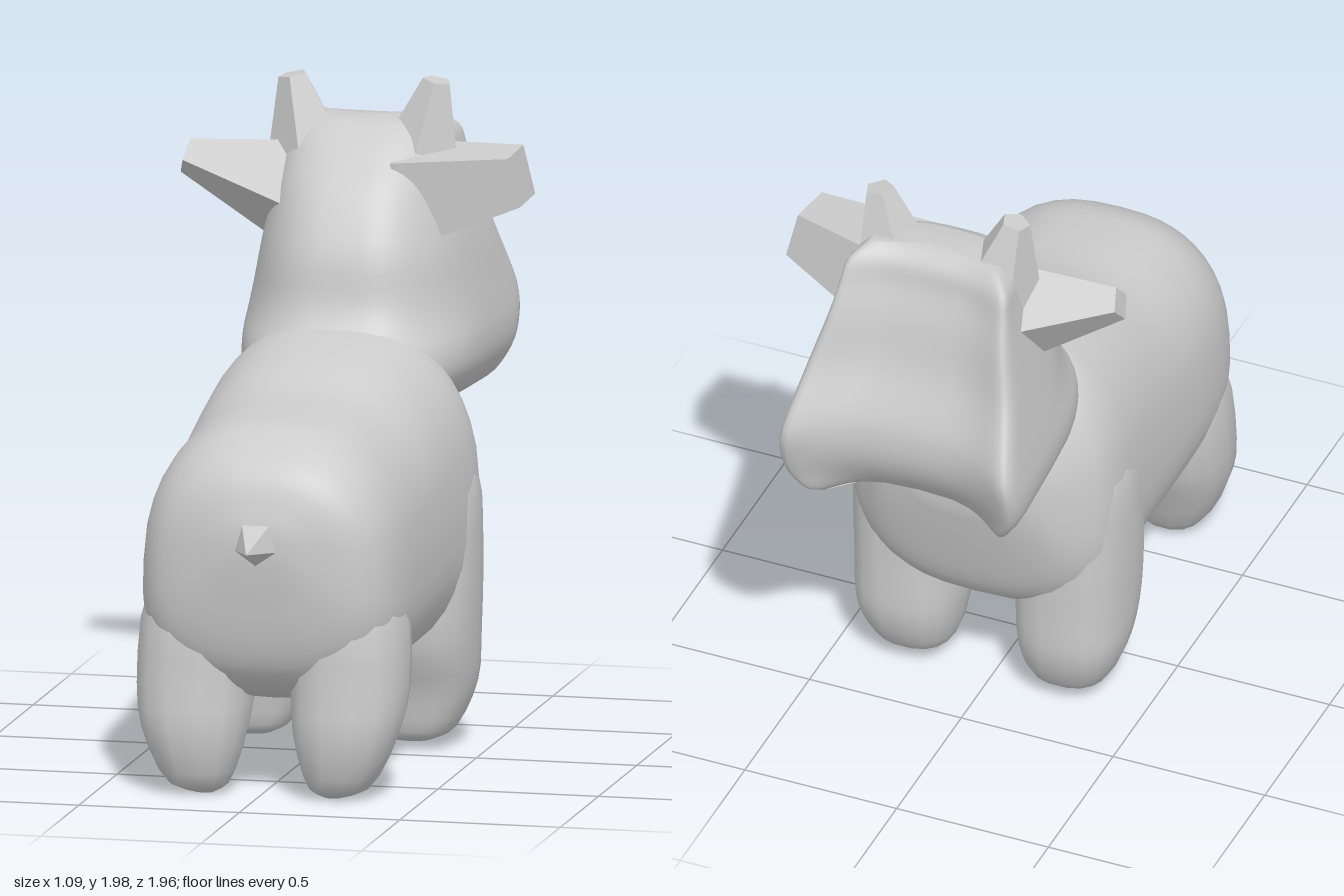
import * as THREE from 'three';

const smooth = new THREE.MeshStandardMaterial({ color: 0xcccccc, side: THREE.DoubleSide });
const faceted = new THREE.MeshStandardMaterial({ color: 0xcccccc, flatShading: true, side: THREE.DoubleSide });

// Stack of rounded-box rings from bottom to top. Each row: [y, zBack, zFront, halfWidth, centreX, hollow]
// n: squareness, taper: relative width at the +z end, hollow: how far the -z face is scooped out
function loft(rows, { n = 3, taper = 1, steps = 30, sides = 40 } = {}) {
  const curve = f => new THREE.CatmullRomCurve3(rows.map(f), false, 'catmullrom');
  const profile = curve(r => new THREE.Vector3(r[1], r[0], r[2]));
  const width = curve(r => new THREE.Vector3(r[3], r[4] ?? 0.02, r[5] ?? 0));
  const pos = [], index = [], ends = [];
  const sgnPow = v => Math.sign(v) * Math.abs(v) ** (2 / n);
  for (let i = 0; i <= steps; i++) {
    const p = profile.getPoint(i / steps), w = width.getPoint(i / steps);
    const front = p.z - 0.45 * w.z;
    const mid = (p.x + front) / 2, half = (p.x - front) / 2;
    ends.push([w.y, p.y, (p.x + p.z) / 2]);
    for (let j = 0; j < sides; j++) {
      const a = (j / sides) * Math.PI * 2, u = sgnPow(Math.cos(a)), s = Math.sin(a);
      const x = u * w.x * THREE.MathUtils.lerp(1, taper, (s + 1) / 2);
      const z = mid + half * sgnPow(s) + w.z * (1 - Math.abs(u) ** 3) * Math.max(0, -s);
      pos.push(w.y + x, p.y, z);
    }
  }
  for (let i = 0; i < steps; i++) for (let j = 0; j < sides; j++) {
    const k = (j + 1) % sides, a = i * sides, b = a + sides;
    index.push(a + j, b + j, a + k, b + j, b + k, a + k);
  }
  // Close both ends
  const bottom = pos.length / 3, last = steps * sides;
  pos.push(...ends[0], ...ends[steps]);
  for (let j = 0; j < sides; j++) {
    const k = (j + 1) % sides;
    index.push(bottom, j, k, bottom + 1, last + k, last + j);
  }
  const g = new THREE.BufferGeometry();
  g.setAttribute('position', new THREE.Float32BufferAttribute(pos, 3));
  g.setIndex(index);
  g.computeVertexNormals();
  return g;
}

// Tapered few-sided prong between two points
function prong(from, to, r0, r1, sides, roll = 0) {
  const a = new THREE.Vector3(...from), b = new THREE.Vector3(...to), d = b.clone().sub(a);
  const g = new THREE.CylinderGeometry(r1, r0, d.length(), sides, 2, false, roll);
  g.applyQuaternion(new THREE.Quaternion().setFromUnitVectors(new THREE.Vector3(0, 1, 0), d.normalize()));
  const m = a.add(b).multiplyScalar(0.5);
  return g.translate(m.x, m.y, m.z);
}

export function createModel() {
  const group = new THREE.Group();
  const add = (name, geometry, material = smooth) => {
    const mesh = new THREE.Mesh(geometry, material);
    mesh.name = name;
    group.add(mesh);
  };

  // Body lofted from rump to chest: rows are [-z, top, bottom, halfWidth]
  add('body', loft([
    [-0.875, 0.86, 0.74, 0.1], [-0.83, 1.0, 0.48, 0.31], [-0.76, 1.075, 0.36, 0.4],
    [-0.65, 1.135, 0.3, 0.44], [-0.5, 1.155, 0.3, 0.455], [-0.3, 1.175, 0.3, 0.46],
    [-0.1, 1.235, 0.3, 0.465], [0.1, 1.28, 0.3, 0.475], [0.22, 1.29, 0.31, 0.475],
    [0.32, 1.25, 0.36, 0.45], [0.4, 1.17, 0.45, 0.37], [0.46, 1.1, 0.64, 0.29], [0.5, 1.05, 0.8, 0.16],
  ], { n: 2.6, taper: 0.82, steps: 44 }).rotateX(-Math.PI / 2));

  // Rounded brisket between the front legs
  const brisket = new THREE.SphereGeometry(1, 24, 16);
  brisket.scale(0.23, 0.44, 0.2).rotateX(-0.15).translate(0.02, 0.78, -0.28);
  add('brisket', brisket);

  // Neck and head in one, with a scooped face and broad muzzle
  add('head', loft([
    [1.015, -0.26, -0.86, 0.35, 0.025, 0.32], [1.045, -0.14, -0.94, 0.4, 0.025, 0.32],
    [1.12, -0.04, -1.0, 0.455, 0.025, 0.31], [1.2, -0.06, -1.03, 0.47, 0.025, 0.3],
    [1.28, -0.13, -1.035, 0.46, 0.025, 0.3], [1.36, -0.17, -1.0, 0.44, 0.025, 0.27],
    [1.5, -0.2, -0.91, 0.4, 0.025, 0.23], [1.65, -0.28, -0.845, 0.355, 0.02, 0.19],
    [1.75, -0.37, -0.79, 0.33, 0.02, 0.16], [1.82, -0.45, -0.75, 0.31, 0.02, 0.12],
    [1.865, -0.52, -0.68, 0.25, 0.02, 0.07],
  ], { n: 3.2, taper: 0.6, steps: 32, sides: 48 }));

  for (const [side, s] of [['left', 1], ['right', -1]]) {
    const x = v => 0.02 + s * v;
    // Stubby legs, fading into the body at the top
    add(side + 'BackLeg', loft([
      [0.01, 0.72, 0.66, 0.03, x(0.2)], [0.05, 0.79, 0.58, 0.1, x(0.22)], [0.2, 0.83, 0.51, 0.16, x(0.235)],
      [0.36, 0.82, 0.44, 0.18, x(0.24)], [0.6, 0.8, 0.4, 0.175, x(0.225)], [0.8, 0.7, 0.45, 0.1, x(0.2)],
    ], { n: 2.4, steps: 12, sides: 14 }));
    add(side + 'FrontLeg', loft([
      [0.035, -0.09, -0.22, 0.06, x(0.25)], [0.07, -0.05, -0.31, 0.12, x(0.255)], [0.2, -0.02, -0.37, 0.165, x(0.265)],
      [0.36, 0.04, -0.375, 0.18, x(0.265)], [0.62, 0.04, -0.375, 0.185, x(0.265)], [0.85, 0.0, -0.37, 0.17, x(0.26)],
      [1.02, -0.1, -0.3, 0.08, x(0.24)],
    ], { n: 2.5, steps: 18, sides: 18 }));
    // Horns
    add(side + 'Horn', prong([x(0.17), 1.72, -0.57], [x(0.225), 1.985, -0.56], 0.14, 0.045, 5), faceted);
  }

  // Ears: the left is blunt, the right more pointed
  add('leftEar', prong([0.18, 1.64, -0.52], [0.525, 1.715, -0.485], 0.19, 0.11, 4, Math.PI / 4), faceted);
  add('rightEar', prong([-0.16, 1.62, -0.53], [-0.525, 1.73, -0.5], 0.18, 0.055, 4), faceted);

  // Tail stub
  add('tail', prong([0.02, 0.82, 0.78], [0.02, 0.805, 0.99], 0.12, 0.004, 5), faceted);

  return group;
}
